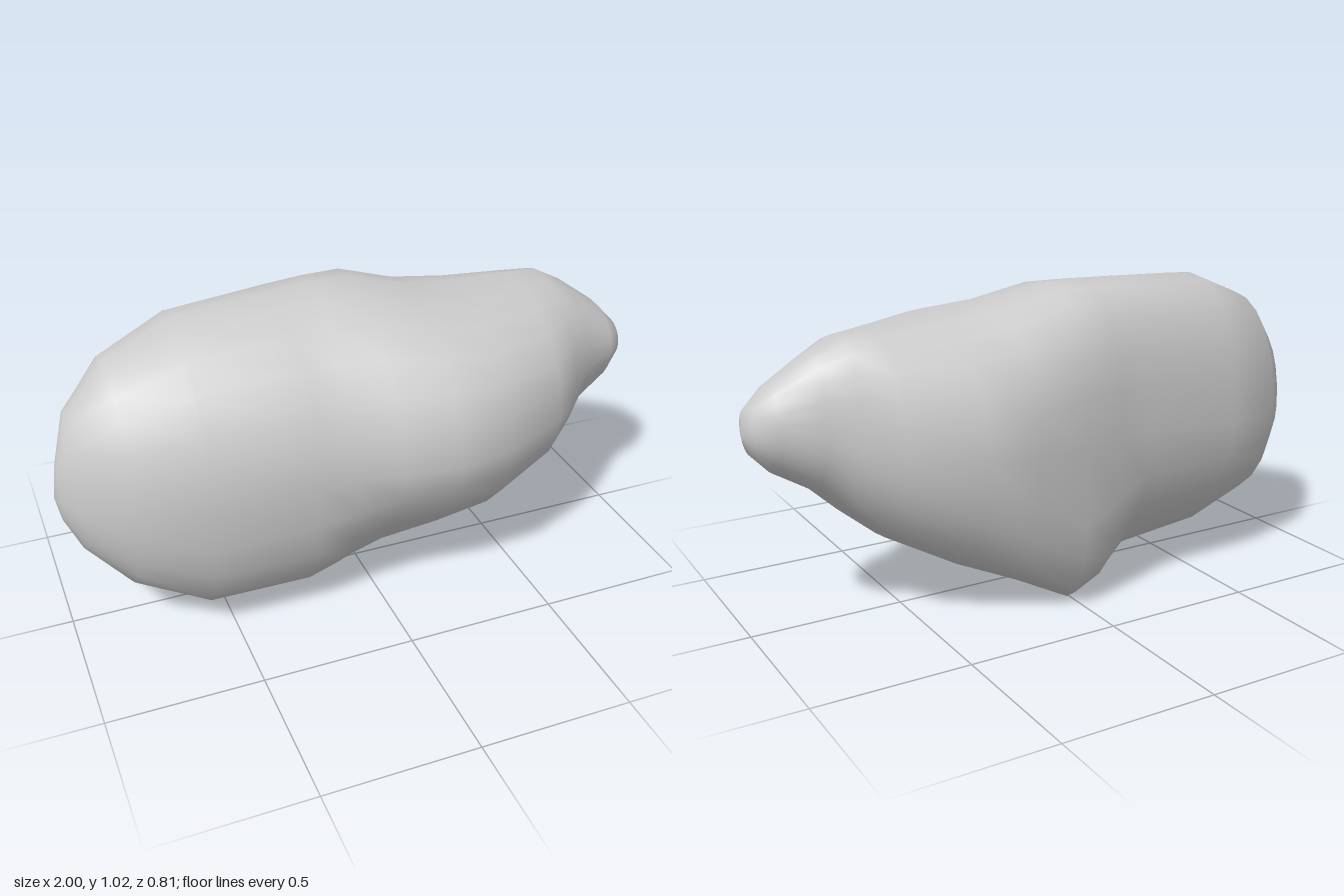
import * as THREE from 'three';

// Cross-sections along x: x, topY, bottomY, backZ, frontZ, sideY, topZ, bottomZ
const SECTIONS = [
  [-0.985, 0.60, 0.41, -0.05, 0.04, 0.49, 0.00, 0.00],
  [-0.935, 0.77, 0.30, -0.15, 0.13, 0.50, -0.02, 0.00],
  [-0.80, 0.91, 0.16, -0.28, 0.235, 0.52, -0.04, 0.03],
  [-0.58, 1.00, 0.07, -0.34, 0.32, 0.53, -0.07, 0.07],
  [-0.24, 1.02, 0.05, -0.34, 0.33, 0.55, -0.10, 0.04],
  [-0.11, 1.025, 0.01, -0.36, 0.335, 0.55, -0.11, -0.08],
  [0.02, 1.025, 0.00, -0.38, 0.375, 0.55, -0.11, -0.15],
  [0.20, 0.975, 0.09, -0.40, 0.405, 0.56, -0.09, -0.13],
  [0.38, 0.957, 0.16, -0.405, 0.39, 0.57, -0.09, -0.09],
  [0.60, 0.937, 0.28, -0.32, 0.30, 0.59, -0.12, -0.05],
  [0.71, 0.93, 0.37, -0.25, 0.21, 0.62, -0.13, -0.02],
  [0.80, 0.885, 0.455, -0.21, 0.125, 0.65, -0.11, -0.02],
  [0.92, 0.80, 0.53, -0.17, 0.08, 0.67, -0.08, -0.03],
  [0.98, 0.735, 0.595, -0.11, 0.03, 0.665, -0.05, -0.04],
];
// Fullness of the quarters, blended along x: x, upper front, upper back, lower front, lower back
const FULLNESS = [
  [-1, 2, 2, 2, 2],
  [-0.58, 2, 2.4, 2.4, 2],
  [-0.24, 1.9, 2.6, 2.3, 2.2],
  [0.02, 1.95, 2.5, 1.6, 3.5],
  [0.38, 2.4, 1.9, 1.9, 2.1],
  [1, 2, 2, 2, 2],
];
const SIDES = 24;

function fullnessAt(x, quarter) {
  const k = FULLNESS.findIndex((row) => row[0] >= x);
  const a = FULLNESS[k - 1], b = FULLNESS[k];
  return THREE.MathUtils.mapLinear(x, a[0], b[0], a[quarter], b[quarter]);
}

// One point of a section, made of four rounded quarters
function sectionPoint([x, top, bottom, back, front, sideY, topZ, bottomZ], j) {
  const a = (j / SIDES) * Math.PI * 2;
  const c = Math.cos(a), d = Math.sin(a);
  const upper = d >= 0, ahead = c >= 0;
  const n = fullnessAt(x, (upper ? 1 : 3) + (ahead ? 0 : 1));
  const u = Math.pow(Math.abs(c), 2 / n), v = Math.pow(Math.abs(d), 2 / n);
  const midZ = upper ? topZ : bottomZ;
  return [
    x,
    sideY + ((upper ? top : bottom) - sideY) * v,
    midZ + ((ahead ? front : back) - midZ) * u,
  ];
}

function rockGeometry() {
  const positions = [], index = [];
  for (const s of SECTIONS) {
    for (let j = 0; j < SIDES; j++) positions.push(...sectionPoint(s, j));
  }
  const last = SECTIONS.length - 1;
  const id = (i, j) => i * SIDES + (j % SIDES);
  const leftPole = SECTIONS.length * SIDES, rightPole = leftPole + 1;
  positions.push(-1, 0.49, 0, 1, 0.66, -0.04);

  for (let j = 0; j < SIDES; j++) {
    for (let i = 0; i < last; i++) {
      index.push(id(i, j), id(i + 1, j), id(i, j + 1));
      index.push(id(i + 1, j), id(i + 1, j + 1), id(i, j + 1));
    }
    // Rounded end caps
    index.push(leftPole, id(0, j), id(0, j + 1));
    index.push(rightPole, id(last, j + 1), id(last, j));
  }
  const geometry = new THREE.BufferGeometry();
  geometry.setAttribute('position', new THREE.Float32BufferAttribute(positions, 3));
  geometry.setIndex(index);
  geometry.computeVertexNormals();
  return geometry;
}

export function createModel() {
  const group = new THREE.Group();
  group.name = 'rock';
  const stone = new THREE.MeshStandardMaterial({ color: 0xcccccc });
  stone.name = 'pale grey stone';
  const body = new THREE.Mesh(rockGeometry(), stone);
  body.name = 'rockBody';
  group.add(body);
  return group;
}
